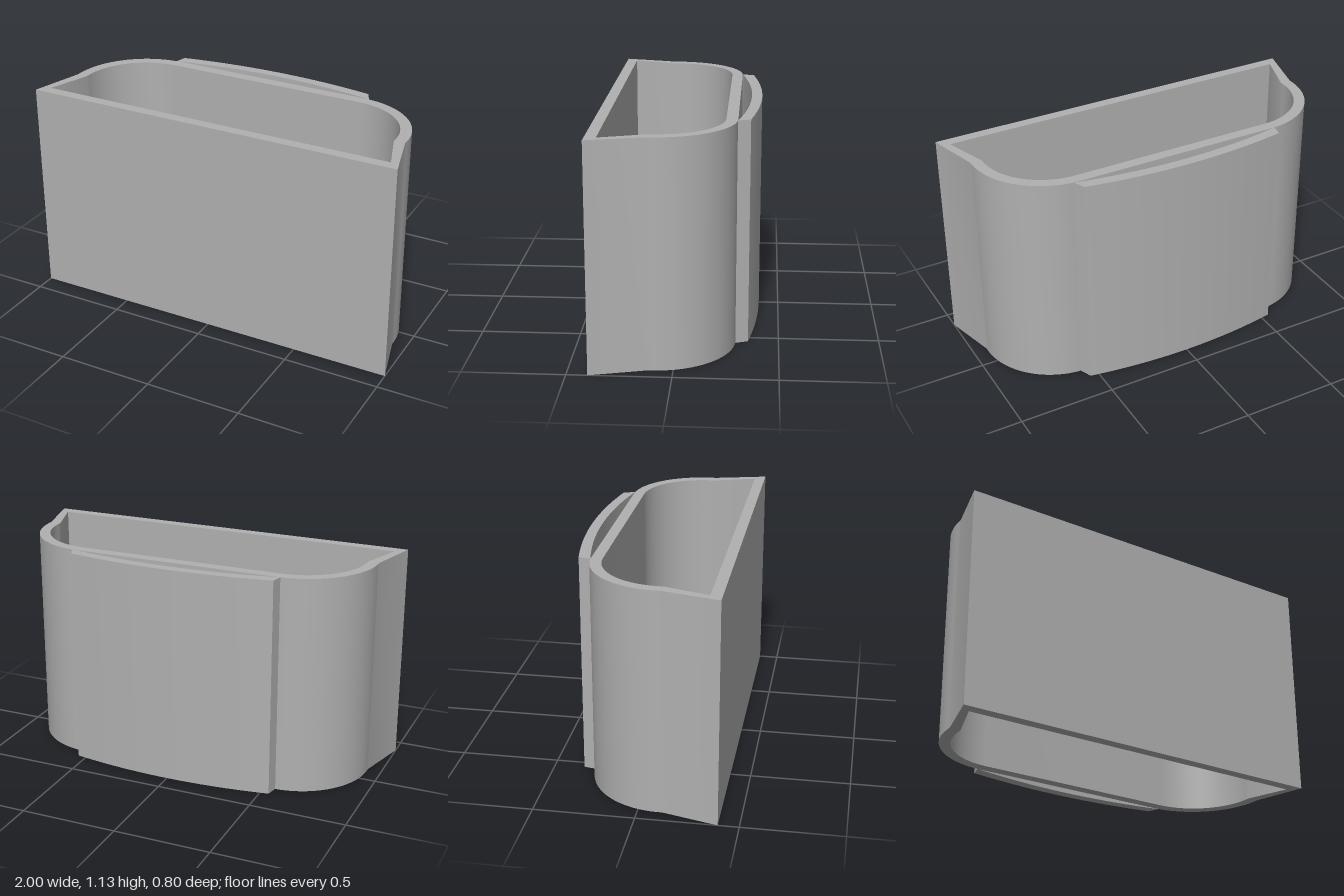
import * as THREE from 'three';
import { toCreasedNormals } from 'three/addons/utils/BufferGeometryUtils.js';

const HEIGHT = 1.135;

// Closed plan outline (shape y = -z): wide flat front, flared sides, rounded back corners
function bodyOutline(Type, halfFront, frontZ, radius) {
  const cx = 0.54, cy = -0.1;
  const p = new Type();
  p.moveTo(-halfFront, -frontZ);
  p.lineTo(halfFront, -frontZ);
  p.lineTo(cx + radius, cy - 0.02);
  p.absarc(cx, cy, radius, 0, Math.PI / 2, false);
  p.absarc(-cx, cy, radius, Math.PI / 2, Math.PI, false);
  p.lineTo(-cx - radius, cy - 0.02);
  p.closePath();
  return p;
}

// Stand a plan shape upright with smooth curves and sharp corners
function upright(shape) {
  const geo = new THREE.ExtrudeGeometry(shape, { depth: HEIGHT, bevelEnabled: false, curveSegments: 24 });
  geo.rotateX(-Math.PI / 2);
  return toCreasedNormals(geo, 0.35);
}

export function createModel() {
  const model = new THREE.Group();
  const grey = new THREE.MeshStandardMaterial({ color: 0xb0b0b0 });
  grey.name = 'grey';

  const add = (name, geometry) => {
    const mesh = new THREE.Mesh(geometry, grey);
    mesh.name = name;
    model.add(mesh);
    return mesh;
  };

  // Hollow sleeve, open at both ends
  const sleeve = bodyOutline(THREE.Shape, 1, 0.398, 0.387);
  sleeve.holes.push(bodyOutline(THREE.Path, 0.945, 0.342, 0.33));
  add('sleeve', upright(sleeve));

  // Curved plate on the back, touching the sleeve only along its two sides
  const plate = new THREE.Shape();
  plate.moveTo(0.572, 0.284);
  plate.lineTo(0.545, 0.348);
  plate.quadraticCurveTo(0, 0.448, -0.545, 0.348);
  plate.lineTo(-0.558, 0.284);
  plate.lineTo(-0.545, 0.29);
  plate.quadraticCurveTo(0, 0.4, 0.56, 0.29);
  plate.closePath();
  add('backPlate', upright(plate));

  // Small square tab on the inside of the front wall
  const tab = add('innerTab', new THREE.BoxGeometry(0.094, 0.095, 0.022));
  tab.position.set(-0.092, 0.22, 0.335);

  return model;
}
